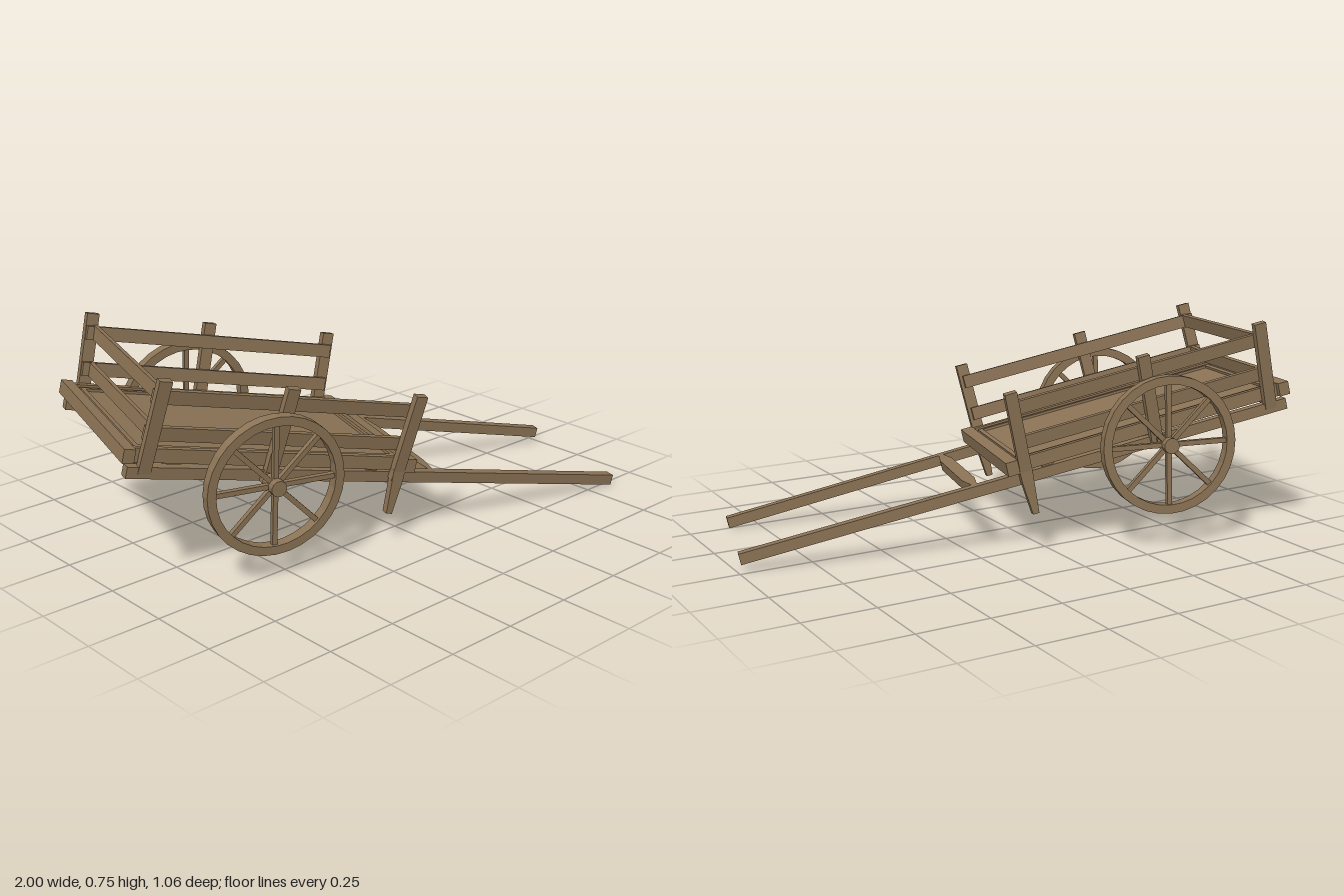
import * as THREE from 'three';

const wood = new THREE.MeshStandardMaterial({ color: 0x8b7355 });
wood.name = 'weatheredWood';
wood.flatShading = true;

// Cart space: x runs toward the handles, y up, z across; origin on the axle centre.
export function createModel() {
  const model = new THREE.Group();
  model.name = 'handcart';
  const cart = new THREE.Group();
  cart.name = 'cart';
  model.add(cart);

  const add = (name, geometry, x, y, z, parent = cart) => {
    const mesh = new THREE.Mesh(geometry, wood);
    mesh.name = name;
    mesh.position.set(x, y, z);
    parent.add(mesh);
    return mesh;
  };
  const box = (name, w, h, d, x, y, z, parent) =>
    add(name, new THREE.BoxGeometry(w, h, d), x, y, z, parent);

  const flare = 0.12;                                   // outward lean of the side posts
  const postZ = (y) => 0.312 + flare * (y - 0.05);

  // Bed: floor and end boards
  box('floor', 0.99, 0.014, 0.58, 0.02, 0.056, 0);
  box('frontBoard', 0.042, 0.048, 0.64, 0.527, 0.054, 0);
  box('rearBoard', 0.038, 0.046, 0.64, -0.475, 0.056, 0);
  for (const x of [-0.435, 0.487]) box('floorEndStrip', 0.016, 0.012, 0.54, x, 0.066, 0);
  for (const x of [-0.42, 0.4]) box('underBeam', 0.04, 0.03, 0.57, x, 0.034, 0);

  for (const s of [1, -1]) {
    // Long shafts run under the bed and draw together toward the handles
    const angle = 0.0288, x0 = -0.475, x1 = 1.463;
    const shaft = box('shaft', x1 - x0, 0.038, 0.034, (x0 + x1) / 2, 0.003, s * 0.274);
    shaft.rotation.y = s * angle;

    // Side frame and inner floor strip
    box('sideFrame', 0.98, 0.046, 0.02, 0.02, 0.054, s * 0.29);
    box('floorSideStrip', 0.94, 0.012, 0.014, 0.025, 0.066, s * 0.262);

    // Posts
    for (const x of [-0.416, 0.014, 0.486]) {
      const low = 0.0, high = 0.312, mid = (low + high) / 2;
      const post = box('post', 0.042, high - low, 0.026, x, mid, s * postZ(mid));
      post.rotation.x = s * flare;
    }

    // Side rails fixed inside the posts
    for (const y of [0.128, 0.25]) {
      const rail = box('sideRail', 0.93, 0.046, 0.016, 0.03, y, s * (postZ(y) - 0.02));
      rail.rotation.x = s * flare;
    }

    // Tapered prop leg
    const legShape = new THREE.Shape([
      new THREE.Vector2(-0.022, 0.04), new THREE.Vector2(-0.012, -0.118),
      new THREE.Vector2(0.01, -0.118), new THREE.Vector2(0.022, 0.0),
      new THREE.Vector2(0.022, 0.04),
    ]);
    const legGeometry = new THREE.ExtrudeGeometry(legShape, { depth: 0.026, bevelEnabled: false });
    add('propLeg', legGeometry, 0.486, 0, s * 0.31 - 0.013);

    // Wheel: rim, hub and spokes
    const wheel = new THREE.Group();
    wheel.name = 'wheel';
    wheel.position.z = s * 0.38;
    cart.add(wheel);
    const inner = 0.206, outer = 0.236, half = 0.019;
    const profile = [[inner, -half], [outer, -half], [outer, half], [inner, half], [inner, -half]]
      .map(([r, y]) => new THREE.Vector2(r, y));
    add('rim', new THREE.LatheGeometry(profile, 32), 0, 0, 0, wheel).rotation.x = Math.PI / 2;
    add('hub', new THREE.CylinderGeometry(0.027, 0.027, 0.07, 12), 0, 0, 0, wheel).rotation.x = Math.PI / 2;
    for (let i = 0; i < 8; i++) {
      const a = (i / 8) * Math.PI * 2 + 0.2;
      const r = 0.115;
      const spoke = box('spoke', 0.19, 0.017, 0.018, r * Math.cos(a), r * Math.sin(a), 0, wheel);
      spoke.rotation.z = a;
    }
  }

  // Rear rails between the back posts
  for (const y of [0.128, 0.252]) {
    box('rearRail', 0.016, 0.046, 2 * postZ(y) - 0.02, -0.404, y, 0);
  }

  // Axle
  box('axle', 0.034, 0.034, 0.74, 0, 0, 0);

  // Cross bar between the shafts, narrowing to both ends
  const barShape = new THREE.Shape([
    [-0.262, -0.008], [-0.17, -0.022], [0.17, -0.022], [0.262, -0.008],
    [0.262, 0.008], [0.17, 0.022], [-0.17, 0.022], [-0.262, 0.008],
  ].map(([a, b]) => new THREE.Vector2(a, b)));
  const barGeometry = new THREE.ExtrudeGeometry(barShape, { depth: 0.036, bevelEnabled: false });
  barGeometry.translate(0, 0, -0.018).rotateX(-Math.PI / 2).rotateY(Math.PI / 2);
  add('crossBar', barGeometry, 0.655, 0.004, 0);

  // Rest pose: handles lowered to the ground, the cart turned and leaning slightly
  const across = new THREE.Vector3(-0.262, -0.046, 0.964).normalize();
  const along = new THREE.Vector3(0.942, -0.213, 0.25);
  along.addScaledVector(across, -along.dot(across)).normalize();
  const up = new THREE.Vector3().crossVectors(across, along);
  cart.quaternion.setFromRotationMatrix(new THREE.Matrix4().makeBasis(along, up, across));
  cart.position.set(-0.46, 0.344, -0.0875);
  return model;
}
